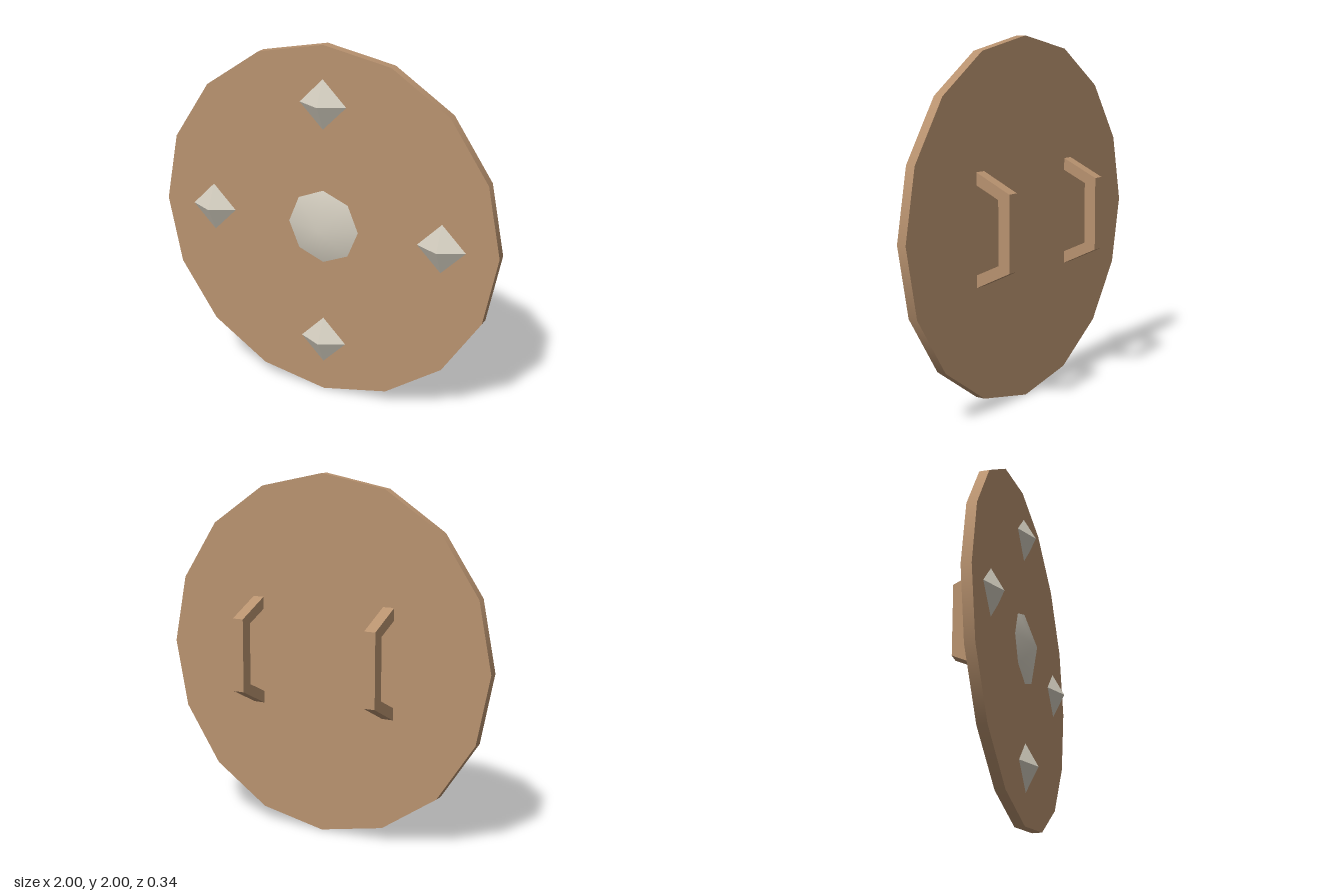
import * as THREE from 'three';
import { mergeVertices } from 'three/addons/utils/BufferGeometryUtils.js';

export function createModel() {
  const group = new THREE.Group();
  group.name = 'roundShield';

  const wood = new THREE.MeshStandardMaterial({ color: 0xb8926f });
  wood.name = 'wood';
  const metal = new THREE.MeshStandardMaterial({ color: 0xd2ccbe });
  metal.name = 'paleMetal';

  const add = (name, geometry, material, x, y, z) => {
    const mesh = new THREE.Mesh(geometry, material);
    mesh.name = name;
    mesh.position.set(x, y, z);
    group.add(mesh);
  };

  // Sixteen-sided board with a smooth-shaded rim
  const board = new THREE.CylinderGeometry(1, 1, 0.055, 16).rotateX(Math.PI / 2);
  add('board', board, wood, 0, 1, 0.068);

  // Shallow eight-sided centre boss, shaded smooth across the tip
  let boss = new THREE.ConeGeometry(0.208, 0.07, 8, 1, true).rotateX(Math.PI / 2);
  boss.deleteAttribute('normal');
  boss.deleteAttribute('uv');
  boss = mergeVertices(boss);
  boss.computeVertexNormals();
  add('centreBoss', boss, metal, 0, 1, 0.136);

  // Four faceted pyramid studs
  const stud = new THREE.ConeGeometry(0.136, 0.07, 4).rotateX(Math.PI / 2).toNonIndexed();
  stud.computeVertexNormals();
  for (let i = 0; i < 4; i++) {
    const a = (i * Math.PI) / 2;
    add('stud' + (i + 1), stud, metal, 0.685 * Math.cos(a), 1 + 0.685 * Math.sin(a), 0.136);
  }

  // Two bent handles on the back; the profile is drawn as (z, height)
  const half = [[0.037, 0.305], [-0.173, 0.205]];
  const inner = [[-0.103, 0.172], [0.037, 0.237]];
  const flip = (points) => points.map(([z, y]) => [z, -y]).reverse();
  const outline = [...half, ...flip(half), ...flip(inner), ...inner];
  const profile = new THREE.Shape(outline.map(([z, y]) => new THREE.Vector2(z, y)));
  const width = 0.066;
  const handle = new THREE.ExtrudeGeometry(profile, { depth: width, bevelEnabled: false })
    .translate(0, 0, -width / 2)
    .rotateY(-Math.PI / 2);
  add('leftHandle', handle, wood, 0.411, 1, 0);
  add('rightHandle', handle, wood, -0.411, 1, 0);

  return group;
}
